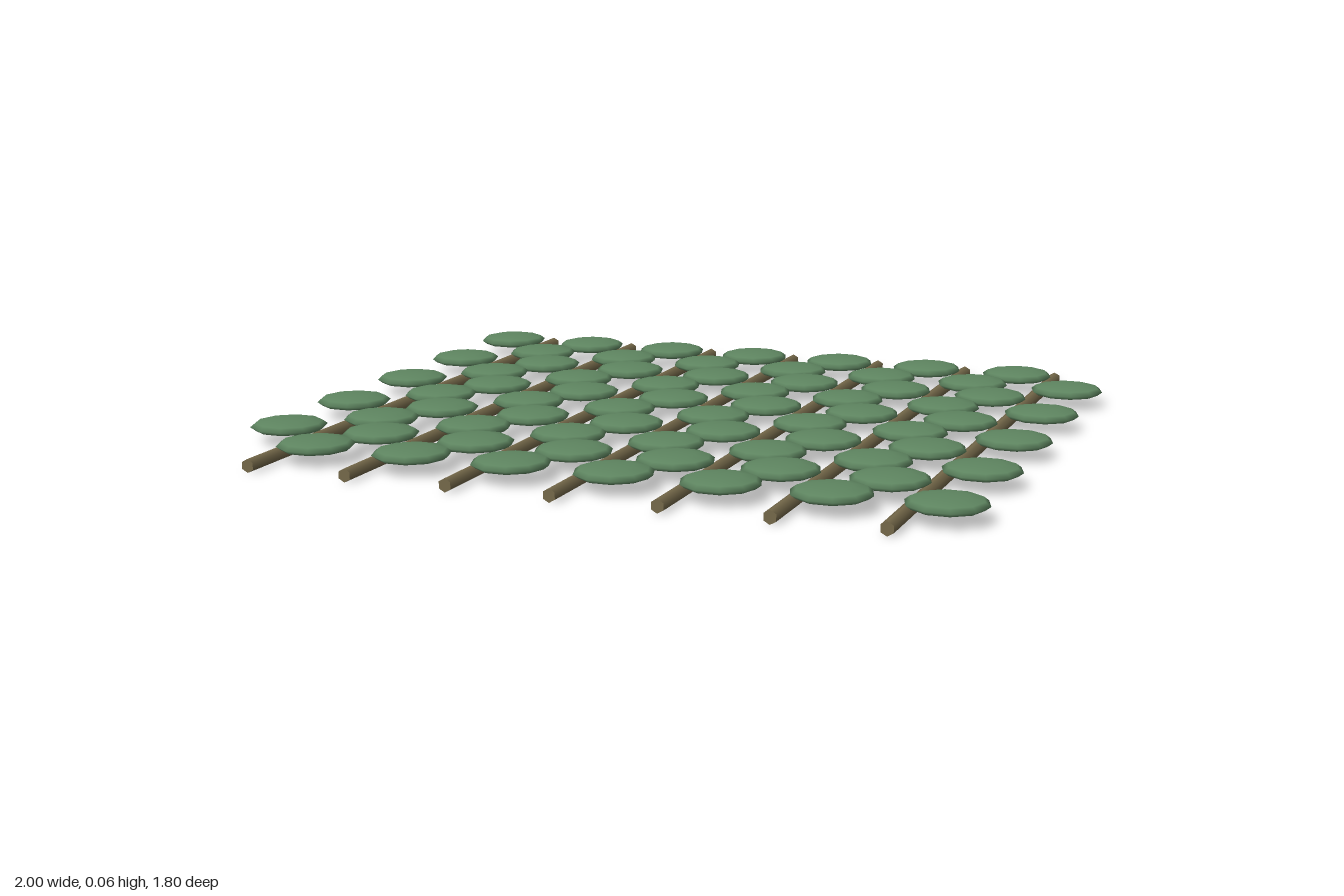
import * as THREE from 'three';

export function createModel() {
  const model = new THREE.Group();
  model.name = 'leafMat';

  const leafGreen = new THREE.MeshStandardMaterial({ color: 0x5e8560 });
  leafGreen.name = 'leaf green';
  const stemBrown = new THREE.MeshStandardMaterial({ color: 0x75694a });
  stemBrown.name = 'stem brown';

  const columns = 7, rows = 10, pitchX = 0.27, pitchZ = 0.1685;

  // Six-sided stems lying along z on the ground
  const stemGeometry = new THREE.CylinderGeometry(0.0175, 0.0175, 1.8, 6);
  stemGeometry.rotateX(Math.PI / 2);
  const stems = new THREE.Group();
  stems.name = 'stems';
  for (let i = 0; i < columns; i++) {
    const stem = new THREE.Mesh(stemGeometry, stemBrown);
    stem.name = 'stem';
    stem.position.set((i - 3) * pitchX, 0.0175, 0);
    stems.add(stem);
  }

  // Flattened round leaves in staggered rows, alternating either side of the stems
  const leafGeometry = new THREE.SphereGeometry(0.1, 10, 6);
  leafGeometry.scale(1, 0.2, 1);
  const leaves = new THREE.Group();
  leaves.name = 'leaves';
  for (let j = 0; j < rows; j++) {
    const side = j % 2 ? 0.09 : -0.09;
    for (let i = 0; i < columns; i++) {
      const leaf = new THREE.Mesh(leafGeometry, leafGreen);
      leaf.name = 'leaf';
      leaf.position.set((i - 3) * pitchX + side, 0.042, -0.79 + j * pitchZ);
      leaves.add(leaf);
    }
  }

  model.add(stems, leaves);
  return model;
}
